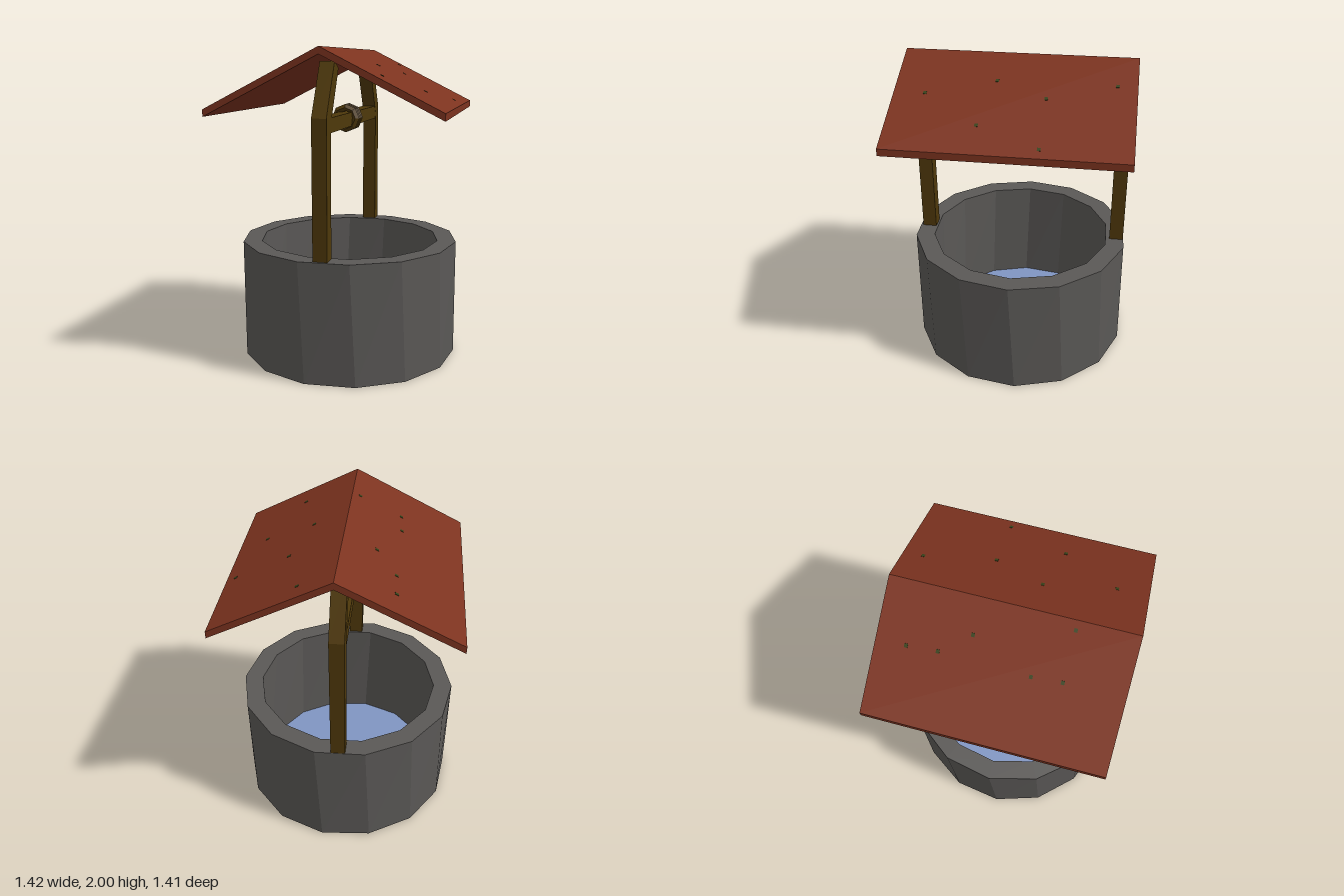
import * as THREE from 'three';

const flat = (name, color) => {
  const m = new THREE.MeshStandardMaterial({ color, flatShading: true });
  m.name = name;
  return m;
};

const SIDES = 14;
const STEP = (Math.PI * 2) / SIDES;
const TOP_TURN = THREE.MathUtils.degToRad(14.3);
const BOTTOM_TURN = THREE.MathUtils.degToRad(17.2);

// Hollow stone ring: four loops joined in a closed section, slightly twisted
function ringWall(outer, inner, height) {
  const loops = [
    [outer, 0, BOTTOM_TURN], [outer, height, TOP_TURN],
    [inner, height, TOP_TURN], [inner, 0, BOTTOM_TURN],
  ];
  const pos = [];
  const index = [];
  for (const [r, y, turn] of loops) {
    for (let i = 0; i < SIDES; i++) {
      const a = turn + i * STEP;
      pos.push(r * Math.sin(a), y, r * Math.cos(a));
    }
  }
  for (let k = 0; k < 4; k++) {
    const p = k * SIDES;
    const q = ((k + 1) % 4) * SIDES;
    for (let i = 0; i < SIDES; i++) {
      const j = (i + 1) % SIDES;
      index.push(p + i, p + j, q + j, p + i, q + j, q + i);
    }
  }
  const indexed = new THREE.BufferGeometry();
  indexed.setAttribute('position', new THREE.Float32BufferAttribute(pos, 3));
  indexed.setIndex(index);
  const g = indexed.toNonIndexed();
  g.computeVertexNormals();
  return g;
}

// Profile extruded and centred along its depth
function extrude(points, depth) {
  const shape = new THREE.Shape(points.map(([x, y]) => new THREE.Vector2(x, y)));
  const g = new THREE.ExtrudeGeometry(shape, { depth, bevelEnabled: false });
  g.translate(0, 0, -depth / 2);
  return g;
}

export function createModel() {
  const model = new THREE.Group();
  model.name = 'well';
  const stone = flat('stone', 0x5a5856);
  const wood = flat('wood', 0x4e380a);
  const roofRed = flat('roof red', 0x7c331f);
  const water = flat('water blue', 0x8095c2);
  const moss = flat('moss green', 0x37421a);

  const add = (name, geometry, material, x = 0, y = 0, z = 0) => {
    const mesh = new THREE.Mesh(geometry, material);
    mesh.name = name;
    mesh.position.set(x, y, z);
    model.add(mesh);
    return mesh;
  };

  // Stone wall and the water at its foot
  add('stoneWall', ringWall(0.71, 0.588, 0.762), stone, -0.004);
  add('water', new THREE.CylinderGeometry(0.586, 0.586, 0.03, SIDES, 1, false, BOTTOM_TURN),
    water, -0.004, 0.03, 0);

  // Posts are set into the wall and bend inward above the crossbeam
  const midX = -0.01;
  const postProfile = [
    [0.683, 0.74], [0.683, 1.6], [0.505, 1.92], [0.42, 1.88], [0.593, 1.555], [0.593, 0.74],
  ];
  for (const side of [1, -1]) {
    const post = add(side > 0 ? 'frontPost' : 'backPost',
      extrude(postProfile, 0.09), wood, midX, 0, -0.007);
    post.rotation.y = -side * Math.PI / 2;
  }

  // Crossbeam with rope wound around it
  add('crossbeam', new THREE.BoxGeometry(0.088, 0.088, 1.22), wood, midX, 1.555, -0.007);
  for (let i = 0; i < 4; i++) {
    add('ropeCoil', new THREE.TorusGeometry(0.069, 0.022, 4, 8), wood,
      midX, 1.56, 0.083 - i * 0.032);
  }

  // Two sloping roof panels
  const slope = [[0, 2], [0, 1.957], [0.708, 1.6], [0.708, 1.643]];
  const pitch = Math.atan2(2 - 1.643, 0.708);
  const panels = [1, -1].map((side) => {
    const panel = add(side > 0 ? 'leftRoofPanel' : 'rightRoofPanel', extrude(slope, 1.414), roofRed);
    if (side < 0) panel.rotation.y = Math.PI;
    return panel;
  });

  // Small flecks of moss scattered over the roof: x, z
  const flecks = [
    [-0.32, -0.53], [-0.31, -0.35], [-0.19, -0.18], [-0.32, 0.18], [-0.31, 0.355], [-0.05, 0.355],
    [0.21, -0.59], [0.32, -0.19], [0.65, -0.19], [0.21, 0.11], [0.52, 0.18], [0.32, 0.52],
  ];
  const fleckShape = new THREE.BoxGeometry(0.022, 0.004, 0.02);
  for (const [x, z] of flecks) {
    const side = Math.sign(x);
    const fleck = new THREE.Mesh(fleckShape, moss);
    fleck.name = 'mossFleck';
    fleck.position.set(Math.abs(x), 2 - Math.abs(x) * Math.tan(pitch), z * side);
    fleck.rotation.z = -pitch;
    panels[side > 0 ? 0 : 1].add(fleck);
  }
  return model;
}
